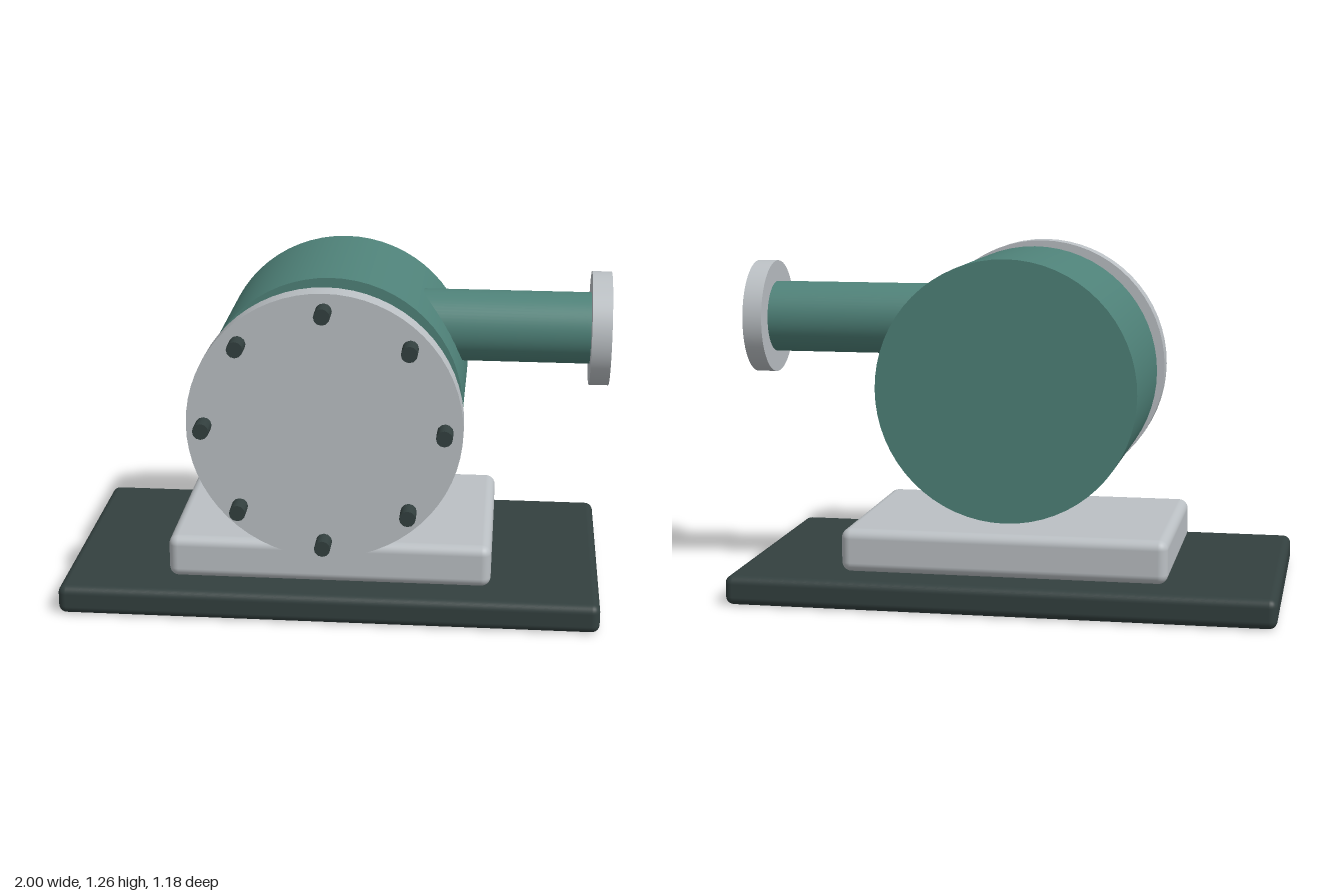
import * as THREE from 'three';
import { RoundedBoxGeometry } from 'three/addons/geometries/RoundedBoxGeometry.js';

const material = (name, color) => {
  const m = new THREE.MeshStandardMaterial({ color });
  m.name = name;
  return m;
};

export function createModel() {
  const teal = material('teal paint', 0x4f8279);
  const steel = material('light steel', 0xbbc0c4);
  const dark = material('dark iron', 0x33403f);
  const brass = material('brass', 0xb8924e);

  const pump = new THREE.Group();
  pump.name = 'pump';
  const CX = -0.007, CY = 0.772; // main axis

  const add = (parent, name, geometry, mat, x, y, z) => {
    const mesh = new THREE.Mesh(geometry, mat);
    mesh.name = name;
    mesh.position.set(x, y, z);
    parent.add(mesh);
    return mesh;
  };
  // Cylinder along z between two depths
  const discZ = (parent, name, r, z0, z1, mat, x, y, sides = 64) =>
    add(parent, name, new THREE.CylinderGeometry(r, r, z1 - z0, sides).rotateX(Math.PI / 2),
      mat, x, y, (z0 + z1) / 2);
  // Cylinder along x between two positions
  const discX = (name, r, x0, x1, mat, y, z) =>
    add(pump, name, new THREE.CylinderGeometry(r, r, x1 - x0, 64).rotateZ(-Math.PI / 2),
      mat, (x0 + x1) / 2, y, z);

  // Base plate and pedestal
  add(pump, 'basePlate', new RoundedBoxGeometry(1.985, 0.108, 1.06, 4, 0.03), dark, CX, 0.054, -0.06);
  add(pump, 'pedestal', new RoundedBoxGeometry(1.192, 0.159, 0.795, 4, 0.035), steel, -0.009, 0.1875, -0.0575);

  // Casing and outlet
  discZ(pump, 'casing', 0.477, -0.378, 0.26, teal, CX, CY);
  discX('outletPipe', 0.132, 0.1, 0.926, teal, 0.997, -0.06);
  discX('outletFlange', 0.21, 0.926, 0.998, steel, 0.997, -0.06);

  // Impeller: back disc, hub and slanted vanes
  const impeller = new THREE.Group();
  impeller.name = 'impeller';
  impeller.position.set(CX, CY, 0);
  pump.add(impeller);
  discZ(impeller, 'impellerDisc', 0.383, 0.29, 0.363, brass, 0, 0);
  discZ(impeller, 'impellerHub', 0.068, 0.363, 0.43, brass, 0, 0, 32);
  for (let i = 0; i < 6; i++) {
    const a = (i * Math.PI) / 3;
    const vane = add(impeller, 'impellerVane', new THREE.BoxGeometry(0.26, 0.065, 0.068), brass,
      0.19 * Math.cos(a), 0.19 * Math.sin(a), 0.397);
    vane.rotation.z = a + 0.5;
  }

  // Front cover with a ring of bolts
  discZ(pump, 'frontCover', 0.488, 0.43, 0.515, steel, CX, CY);
  for (let i = 0; i < 8; i++) {
    const a = (i * Math.PI) / 4;
    discZ(pump, 'coverBolt', 0.029, 0.48, 0.59, dark,
      CX + 0.425 * Math.cos(a), CY + 0.425 * Math.sin(a), 12);
  }
  return pump;
}
